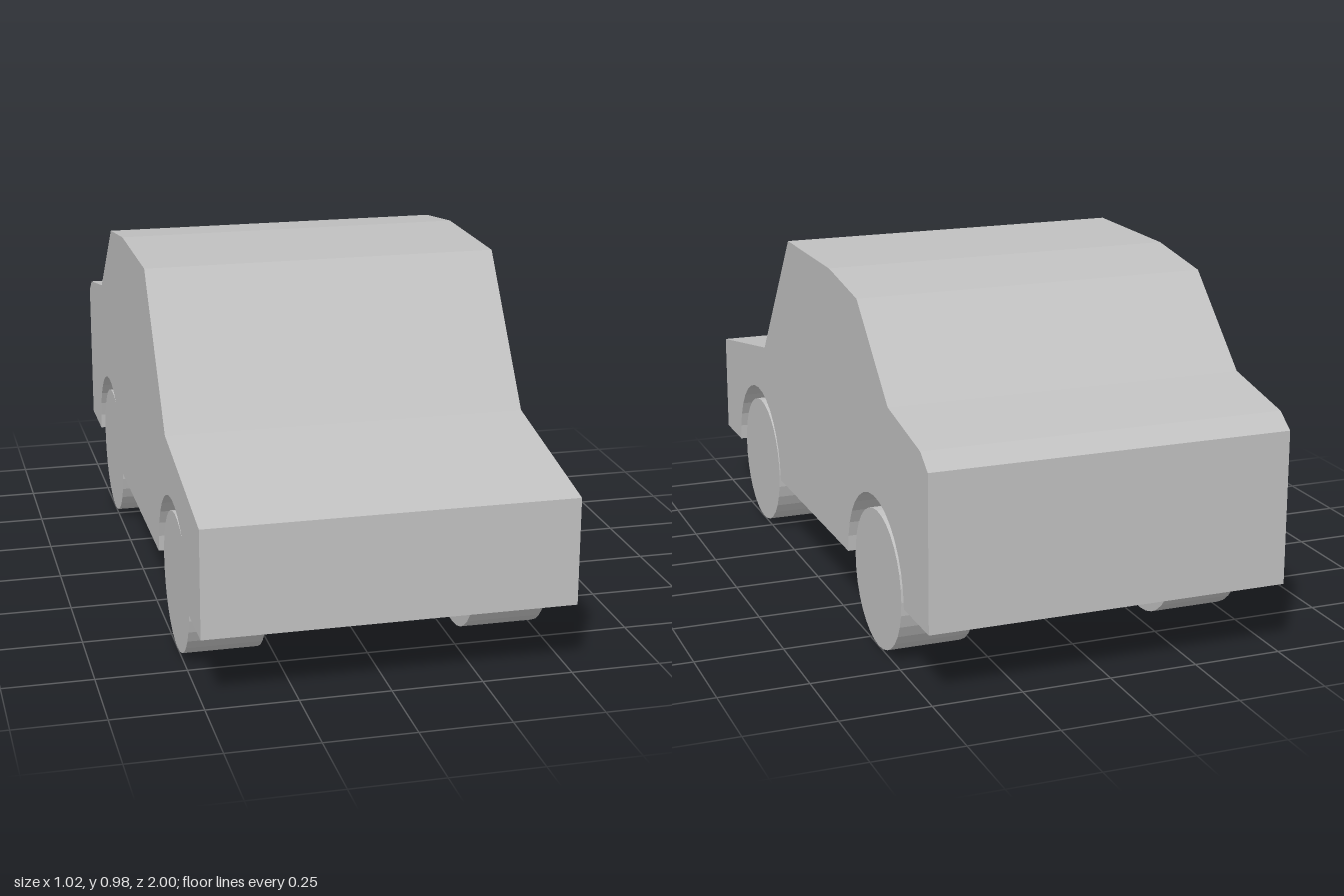
import * as THREE from 'three';

const HALF = 0.508;      // half body width
const WELL_X = 0.204;    // inner wall of the wheel wells
const FLOOR = 0.196;     // underside and axle height
const WELL_R = 0.238;
const WHEEL_R = 0.195;
const AXLES = [-0.57, 0.595]; // rear, front

// Body outline as [z, y], from the nose over the roof to the tail
const PROFILE = [
  [1, FLOOR], [1, 0.497], [0.505, 0.586], [0.208, 0.981], [-0.2, 0.981],
  [-0.445, 0.948], [-0.695, 0.714], [-0.945, 0.667], [-1, 0.627], [-1, FLOOR],
];

// Half circle over an axle as [z, y], from back to front
function arch(z, steps = 16) {
  return Array.from({ length: steps + 1 }, (_, i) => {
    const a = Math.PI * (1 - i / steps);
    return [z + WELL_R * Math.cos(a), FLOOR + WELL_R * Math.sin(a)];
  });
}

// Faceted sheet that sweeps a [z, y] line from x0 to x1
function strip(line, x0, x1) {
  const pos = [];
  for (let i = 0; i < line.length - 1; i++) {
    const [z0, y0] = line[i];
    const [z1, y1] = line[i + 1];
    pos.push(x0, y0, z0, x1, y0, z0, x1, y1, z1);
    pos.push(x0, y0, z0, x1, y1, z1, x0, y1, z1);
  }
  const geo = new THREE.BufferGeometry();
  geo.setAttribute('position', new THREE.Float32BufferAttribute(pos, 3));
  geo.computeVertexNormals();
  return geo;
}

function flatShape(points) {
  return new THREE.ShapeGeometry(new THREE.Shape(points.map(([a, b]) => new THREE.Vector2(a, b))));
}

// Flat panel from [z, y] points at distance x, facing outward on the given side
function panel(points, x, side) {
  return flatShape(points.map(([z, y]) => [-side * z, y]))
    .rotateY(side * Math.PI / 2)
    .translate(side * x, 0, 0);
}

export function createModel() {
  const paint = new THREE.MeshStandardMaterial({ color: 0xc0c0c0, flatShading: true });
  paint.name = 'light grey';

  const car = new THREE.Group();
  car.name = 'car';
  const add = (name, geo) => {
    const mesh = new THREE.Mesh(geo, paint);
    mesh.name = name;
    car.add(mesh);
    return mesh;
  };

  // Nose, bonnet, windscreen, roof, boot and tail
  add('bodyShell', strip(PROFILE, -HALF, HALF));

  // Underside with a notch for each wheel well
  const edge = [[HALF, -1]];
  for (const z of AXLES) {
    edge.push([HALF, z - WELL_R], [WELL_X, z - WELL_R], [WELL_X, z + WELL_R], [HALF, z + WELL_R]);
  }
  edge.push([HALF, 1]);
  const floorPoints = [...edge, ...edge.map(([x, z]) => [-x, z]).reverse()];
  add('underside', flatShape(floorPoints).rotateX(Math.PI / 2).translate(0, FLOOR, 0));

  for (const side of [1, -1]) {
    const sideName = side > 0 ? 'left' : 'right';

    // Side wall with wheel arches cut out
    add(`${sideName}Side`, panel([...PROFILE, ...AXLES.flatMap((z) => arch(z))], HALF, side));

    AXLES.forEach((z, i) => {
      const corner = sideName + (i ? 'Front' : 'Rear');
      const [x0, x1] = side > 0 ? [WELL_X, HALF] : [-HALF, -WELL_X];

      // Wheel well lining and inner wall
      add(`${corner}WellLining`, strip(arch(z), x0, x1));
      add(`${corner}WellWall`, panel(arch(z), WELL_X, side));

      // Wheel
      const wheel = add(`${corner}Wheel`, new THREE.CylinderGeometry(WHEEL_R, WHEEL_R, 0.21, 32).rotateZ(Math.PI / 2));
      wheel.position.set(side * 0.395, FLOOR, z);
    });
  }
  return car;
}
